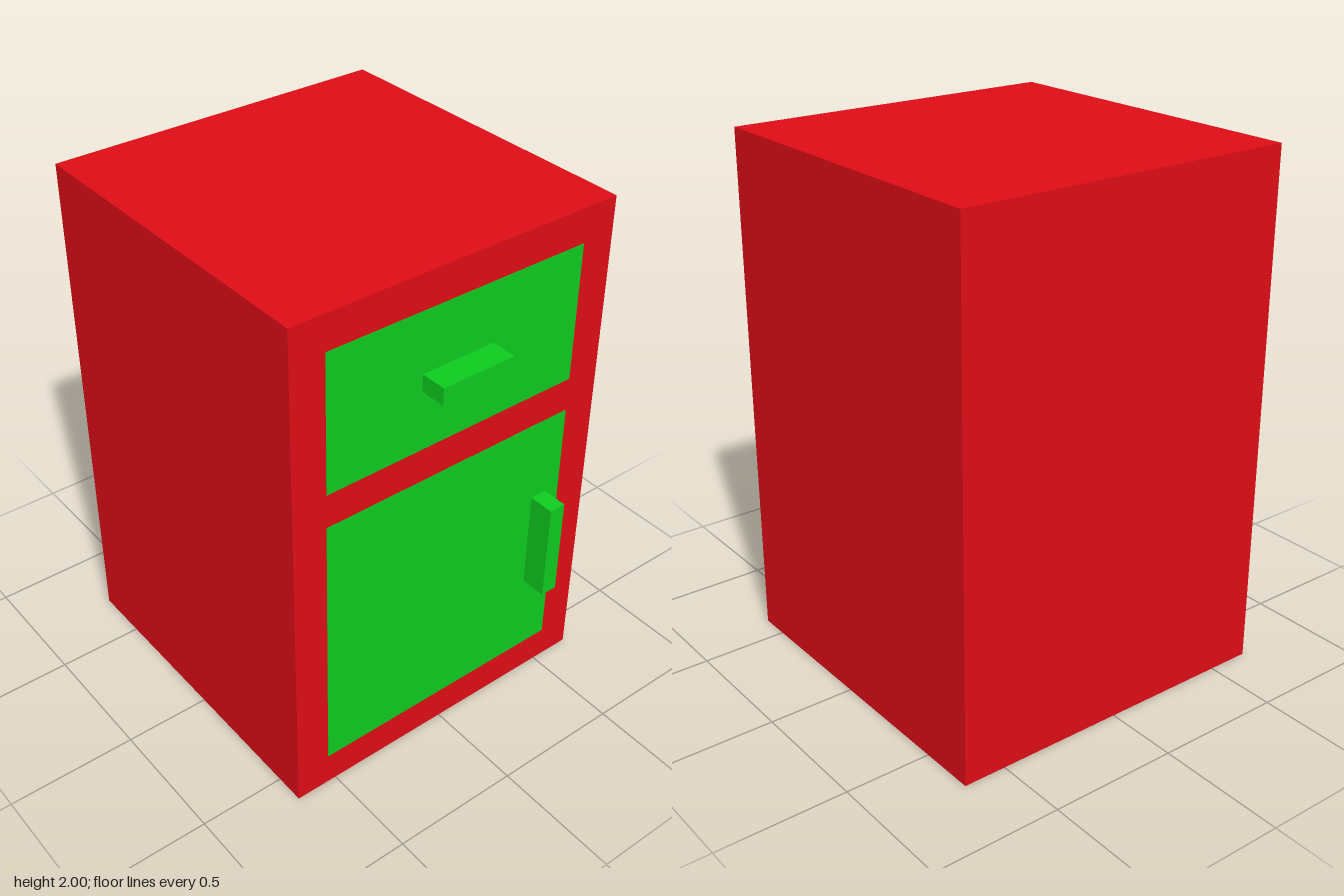
import * as THREE from 'three';

const FACE = 0.615; // x of the cabinet side that carries the drawer and door

export function createModel() {
  const group = new THREE.Group();
  const red = new THREE.MeshStandardMaterial({ color: 0xdf0d16 });
  const green = new THREE.MeshStandardMaterial({ color: 0x0ecb1f });

  // Box given by its extents on each axis
  function addBox(name, material, [x0, x1], [y0, y1], [z0, z1]) {
    const mesh = new THREE.Mesh(new THREE.BoxGeometry(x1 - x0, y1 - y0, z1 - z0), material);
    mesh.position.set((x0 + x1) / 2, (y0 + y1) / 2, (z0 + z1) / 2);
    mesh.name = name;
    group.add(mesh);
  }

  // Cabinet body
  addBox('cabinetBody', red, [-0.717, FACE], [0, 2], [-0.667, 0.667]);

  // Drawer and door panels, practically flush with the body
  const panelX = [FACE - 0.01, FACE + 0.0015];
  addBox('drawerPanel', green, panelX, [1.333, 1.867], [-0.533, 0.533]);
  addBox('doorPanel', green, panelX, [0.133, 1.2], [-0.533, 0.533]);

  // Bar handles: horizontal on the drawer, upright on the door
  const handleX = [FACE, 0.717];
  addBox('drawerHandle', green, handleX, [1.567, 1.633], [-0.15, 0.15]);
  addBox('doorHandle', green, handleX, [0.467, 0.867], [-0.467, -0.4]);

  return group;
}
